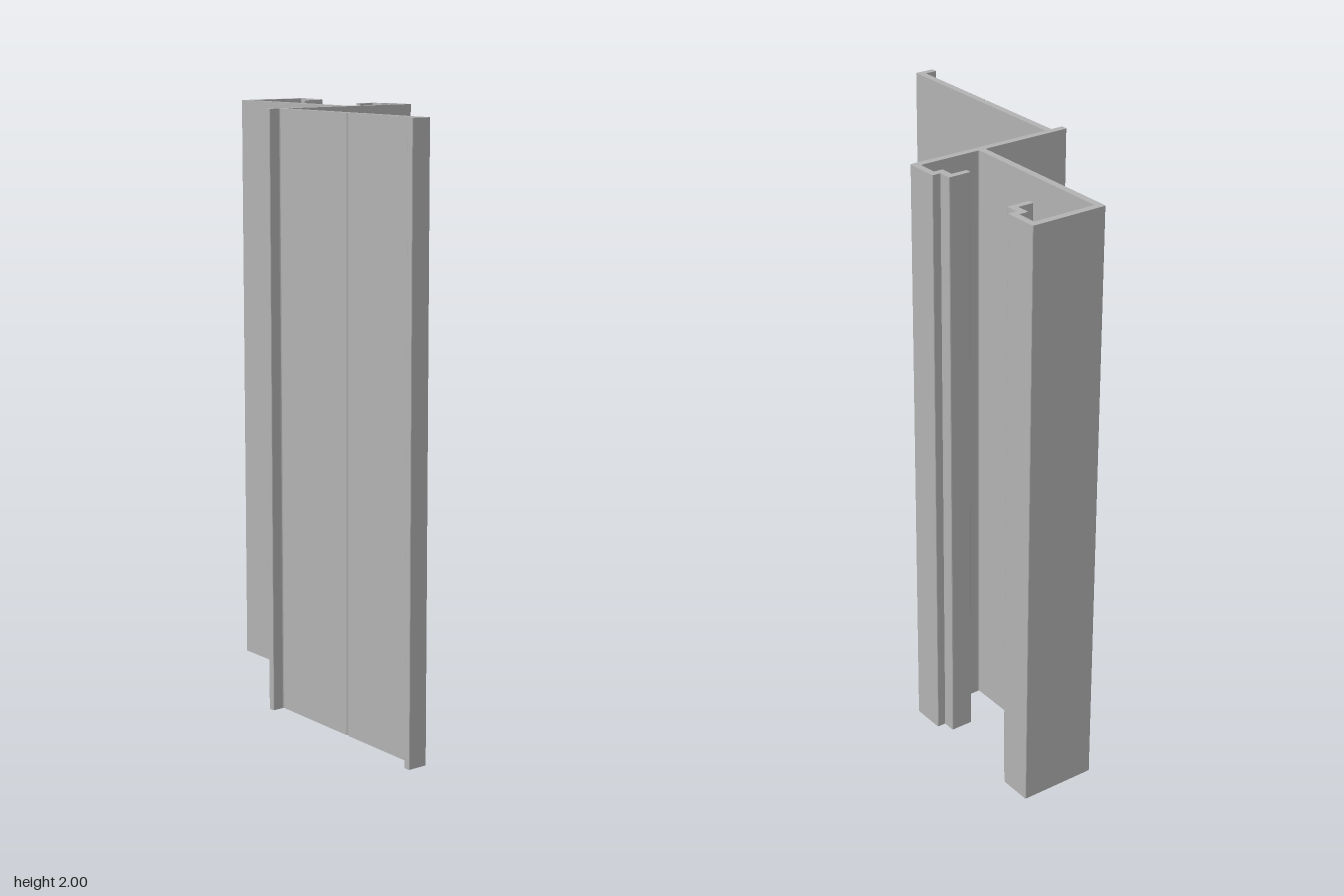
import * as THREE from 'three';

const HEIGHT = 2;
const MID_Z = -0.361; // mirror line of the C-shaped channel

// Closed outline from [x, z, cornerRadius] points, with rounded corners where a radius is given
function roundedOutline(points) {
  const shape = new THREE.Shape();
  const v = points.map(([x, z]) => new THREE.Vector2(x, -z));
  points.forEach(([, , r = 0], i) => {
    const p = v[i];
    const prev = v[(i + v.length - 1) % v.length];
    const next = v[(i + 1) % v.length];
    const a = p.clone().add(prev.clone().sub(p).setLength(r));
    const b = p.clone().add(next.clone().sub(p).setLength(r));
    if (i === 0) shape.moveTo(a.x, a.y);
    else shape.lineTo(a.x, a.y);
    if (r > 0) shape.quadraticCurveTo(p.x, p.y, b.x, b.y);
  });
  shape.closePath();
  return shape;
}

export function createModel() {
  const group = new THREE.Group();
  group.name = 'extrudedProfile';
  const metal = new THREE.MeshStandardMaterial({ color: 0xb3b3b3 });
  metal.name = 'grey metal';

  // Stepped lip at the rear of the channel, from the outer wall round to the inner wall
  const rearLip = [
    [0.29, -0.667, 0.004], [0.29, -0.55, 0.004], [0.26, -0.55], [0.26, -0.506, 0.005],
    [0.18, -0.506, 0.005], [0.18, -0.527, 0.005], [0.235, -0.527], [0.235, -0.574, 0.005],
    [0.267, -0.574], [0.267, -0.643, 0.004],
  ];
  const frontLip = rearLip.map(([x, z, r]) => [x, 2 * MID_Z - z, r]).reverse();

  const outline = [
    // Rear channel
    [0.025, -0.667, 0.004], ...rearLip,
    [0.049, -0.643, 0.006], [0.049, -0.079, 0.006],
    ...frontLip,
    // Front leg with its turned foot and the small groove on its left face
    [-0.226, -0.055, 0.006], [-0.226, 0.663],
    [-0.293, 0.663, 0.004], [-0.293, 0.64, 0.004], [-0.25, 0.64, 0.006],
    [-0.25, 0.301], [-0.244, 0.295], [-0.25, 0.289], [-0.25, -0.055, 0.006],
    // Cross flange
    [-0.293, -0.055, 0.004], [-0.293, -0.079, 0.004], [0.025, -0.079, 0.006],
  ];

  const geometry = new THREE.ExtrudeGeometry(roundedOutline(outline), {
    depth: HEIGHT, bevelEnabled: false, curveSegments: 4,
  });
  geometry.rotateX(-Math.PI / 2);

  const rail = new THREE.Mesh(geometry, metal);
  rail.name = 'profileRail';
  group.add(rail);
  return group;
}
